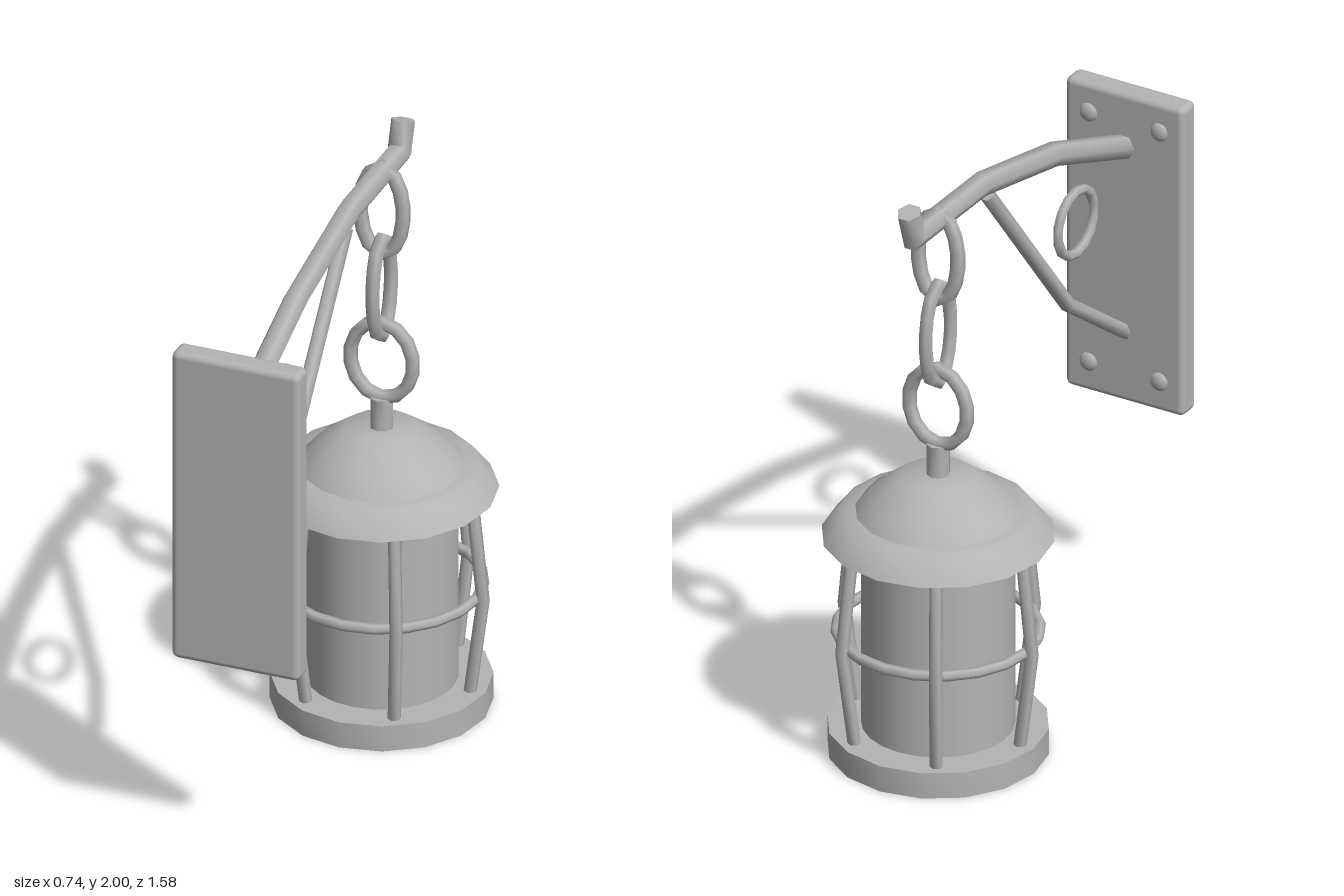
import * as THREE from 'three';
import { toCreasedNormals } from 'three/addons/utils/BufferGeometryUtils.js';
import { RoundedBoxGeometry } from 'three/addons/geometries/RoundedBoxGeometry.js';

const LANTERN_Z = -0.415;

// Mitred, capped rod along a path of [z, y] points
function rod(path, radius, sides = 6) {
  const pts = path.map(([z, y]) => new THREE.Vector2(z, y));
  const pos = [], index = [];
  pts.forEach((p, i) => {
    const before = p.clone().sub(pts[Math.max(i - 1, 0)]).normalize();
    const after = pts[Math.min(i + 1, pts.length - 1)].clone().sub(p).normalize();
    const t = before.clone().add(after).normalize();
    const mitre = 1 / t.dot(i ? before : after);
    for (let j = 0; j < sides; j++) {
      const a = (j / sides) * Math.PI * 2;
      const s = Math.sin(a) * radius * mitre;
      pos.push(Math.cos(a) * radius, p.y + t.x * s, p.x - t.y * s);
    }
  });
  const last = pts.length - 1;
  for (let i = 0; i < last; i++) {
    for (let j = 0; j < sides; j++) {
      const k = (j + 1) % sides;
      const a = i * sides + j, b = i * sides + k, c = a + sides, d = b + sides;
      index.push(a, b, c, b, d, c);
    }
  }
  for (let j = 1; j < sides - 1; j++) {
    index.push(0, j + 1, j);
    index.push(last * sides, last * sides + j, last * sides + j + 1);
  }
  const g = new THREE.BufferGeometry();
  g.setAttribute('position', new THREE.Float32BufferAttribute(pos, 3));
  g.setIndex(index);
  return toCreasedNormals(g, 1.15);
}

// Oval ring in the xy plane; w and h are its outer half sizes
function link(w, h, r) {
  const pts = Array.from({ length: 14 }, (_, i) => {
    const a = (i / 14) * Math.PI * 2;
    return new THREE.Vector3(Math.sin(a) * (w - r), Math.cos(a) * (h - r), 0);
  });
  return new THREE.TubeGeometry(new THREE.CatmullRomCurve3(pts, true), 14, r, 6, true);
}

function turned(profile, crease = 0.7) {
  const pts = profile.map(([r, y]) => new THREE.Vector2(r, y));
  return toCreasedNormals(new THREE.LatheGeometry(pts, 16), crease);
}

export function createModel() {
  const iron = new THREE.MeshStandardMaterial({ color: 0xb4b4b4 });
  iron.name = 'grey iron';
  const model = new THREE.Group();
  model.name = 'wallLantern';

  const add = (name, geometry, parent, x = 0, y = 0, z = 0) => {
    const mesh = new THREE.Mesh(geometry, iron);
    mesh.name = name;
    mesh.position.set(x, y, z);
    parent.add(mesh);
    return mesh;
  };

  // Wall bracket
  const bracket = new THREE.Group();
  bracket.name = 'bracket';
  model.add(bracket);
  add('wallPlate', new RoundedBoxGeometry(0.436, 1.1, 0.084, 2, 0.022), bracket, 0, 1.262, 0.752);
  for (const x of [-0.13, 0.13]) {
    for (const y of [0.82, 1.71]) {
      add('rivet', new THREE.SphereGeometry(0.032, 10, 8), bracket, x, y, 0.71).scale.z = 0.5;
    }
  }
  add('arm', rod([[0.73, 1.615], [0.29, 1.79], [-0.15, 1.885], [-0.56, 1.885], [-0.592, 1.985]], 0.04), bracket);
  add('brace', rod([[0.73, 0.95], [0.37, 1.215], [-0.12, 1.835]], 0.025), bracket);
  add('bracketRing', link(0.127, 0.127, 0.017), bracket, 0, 1.485, 0.42).rotation.y = Math.PI / 2;

  // Chain
  const chain = new THREE.Group();
  chain.name = 'chain';
  chain.position.z = LANTERN_Z;
  model.add(chain);
  add('upperLink', link(0.097, 0.18, 0.024), chain, 0, 1.75);
  add('middleLink', link(0.1, 0.198, 0.024), chain, 0, 1.473).rotation.y = Math.PI / 2;
  add('lowerLink', link(0.13, 0.157, 0.023), chain, 0, 1.213);

  // Lantern
  const lantern = new THREE.Group();
  lantern.name = 'lantern';
  lantern.position.z = LANTERN_Z;
  model.add(lantern);
  add('base', turned([[0, 0], [0.352, 0], [0.352, 0.09], [0, 0.09]]), lantern);
  add('glass', new THREE.CylinderGeometry(0.243, 0.243, 0.69, 24, 1, true), lantern, 0, 0.425);
  add('roofRim', turned([[0, 0.76], [0.37, 0.76], [0.307, 0.84], [0.25, 0.845]], 1.0), lantern);
  add('roofDome', turned([[0.268, 0.838], [0.22, 0.895], [0.115, 0.973], [0, 0.975]], 0.9), lantern);
  add('stem', toCreasedNormals(new THREE.CylinderGeometry(0.038, 0.038, 0.13, 8), 1), lantern, 0, 1.017);

  // Cage: six bowed bars and a hoop
  const bar = rod([[0.3, 0.08], [0.345, 0.42], [0.307, 0.78]], 0.021);
  for (let i = 0; i < 6; i++) {
    add('cageBar', bar, lantern).rotation.y = Math.PI / 2 + (i * Math.PI) / 3;
  }
  add('cageHoop', new THREE.TorusGeometry(0.322, 0.018, 6, 20), lantern, 0, 0.423).rotation.x = Math.PI / 2;

  return model;
}
